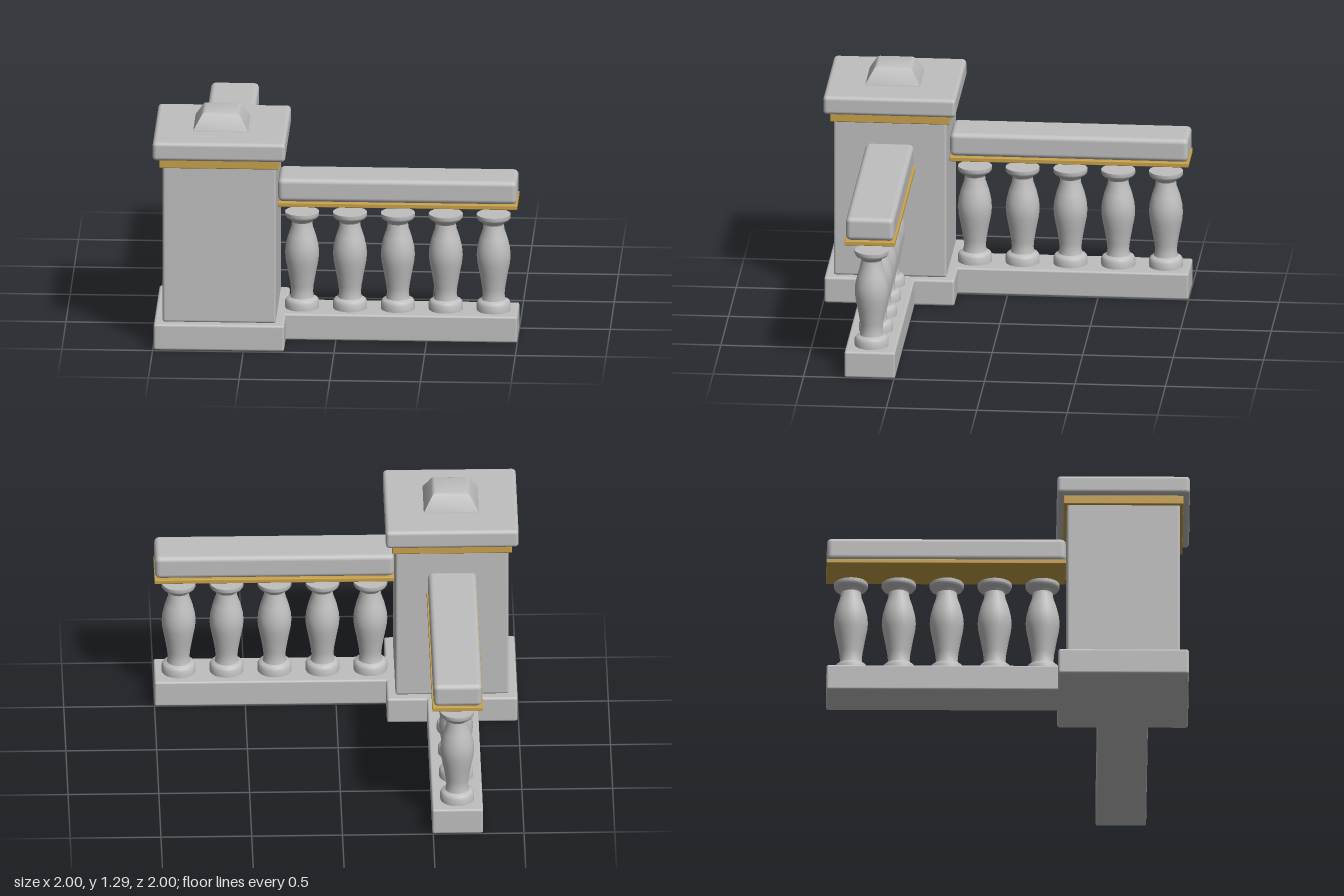
import * as THREE from 'three';
import { toCreasedNormals } from 'three/addons/utils/BufferGeometryUtils.js';
import { RoundedBoxGeometry } from 'three/addons/geometries/RoundedBoxGeometry.js';

const stone = new THREE.MeshStandardMaterial({ color: 0xbfbfbf });
stone.name = 'stone';
const gold = new THREE.MeshStandardMaterial({ color: 0xc9a24a });
gold.name = 'gold';

// Rounded block given by its extents
function block(name, material, [x0, x1], [y0, y1], [z0, z1], radius) {
  const geometry = new RoundedBoxGeometry(x1 - x0, y1 - y0, z1 - z0, 3, radius);
  const mesh = new THREE.Mesh(geometry, material);
  mesh.position.set((x0 + x1) / 2, (y0 + y1) / 2, (z0 + z1) / 2);
  mesh.name = name;
  return mesh;
}

// Turned shape from [radius, height] pairs, bottom to top
function turned(profile, sides, scale = 1, start = 0) {
  const points = profile.map(([r, y]) => new THREE.Vector2(r * scale, y));
  return toCreasedNormals(new THREE.LatheGeometry(points, sides, start), 0.6);
}

const balusterGeometry = turned([
  [0, 0.148], [0.094, 0.148], [0.094, 0.188], [0.086, 0.202], [0.066, 0.212],
  [0.06, 0.24], [0.064, 0.28], [0.078, 0.36], [0.09, 0.42], [0.094, 0.465],
  [0.09, 0.51], [0.077, 0.565], [0.06, 0.615], [0.056, 0.645], [0.066, 0.66],
  [0.086, 0.67], [0.094, 0.682], [0.094, 0.702], [0, 0.702],
], 24);

// Balustrade running along +x from the pillar's centre
function createArm(name) {
  const arm = new THREE.Group();
  arm.name = name;
  arm.add(
    block('bottomRail', stone, [0.33, 1.635], [0, 0.15], [-0.14, 0.14], 0.012),
    block('railTrim', gold, [0.315, 1.635], [0.768, 0.793], [-0.14, 0.14], 0.004),
    block('handrail', stone, [0.315, 1.632], [0.793, 0.926], [-0.133, 0.133], 0.028),
  );
  for (let i = 0; i < 5; i++) {
    const baluster = new THREE.Mesh(balusterGeometry, stone);
    baluster.position.x = 0.443 + i * 0.264;
    baluster.name = 'baluster';
    arm.add(baluster);
  }
  return arm;
}

// Square block centred on the pillar axis
const slab = (name, material, half, y, radius) =>
  block(name, material, [-half, half], y, [-half, half], radius);

export function createModel() {
  const model = new THREE.Group();
  model.name = 'balustradeCorner';

  // Corner pillar
  const pillar = new THREE.Group();
  pillar.name = 'pillar';
  pillar.add(
    slab('plinth', stone, 0.36, [0, 0.15], 0.014),
    slab('shaft', stone, 0.312, [0.148, 1.06], 0.014),
    slab('goldBand', gold, 0.33, [1.043, 1.096], 0.006),
    slab('capstone', stone, 0.366, [1.094, 1.2], 0.022),
  );

  // Four-sided finial with a bevelled top
  const finial = new THREE.Mesh(turned([
    [0, 1.198], [0.152, 1.198], [0.15, 1.207], [0.108, 1.277], [0.1, 1.288],
    [0.088, 1.294], [0, 1.294],
  ], 4, Math.SQRT2, Math.PI / 4), stone);
  finial.name = 'finial';
  pillar.add(finial);

  // Two arms at right angles, to +x and to -z
  const sideArm = createArm('sideBalustrade');
  const backArm = createArm('backBalustrade');
  backArm.rotation.y = Math.PI / 2;

  const corner = new THREE.Group();
  corner.name = 'corner';
  corner.position.set(-0.635, 0, 0.635);
  corner.add(pillar, sideArm, backArm);
  model.add(corner);
  return model;
}
